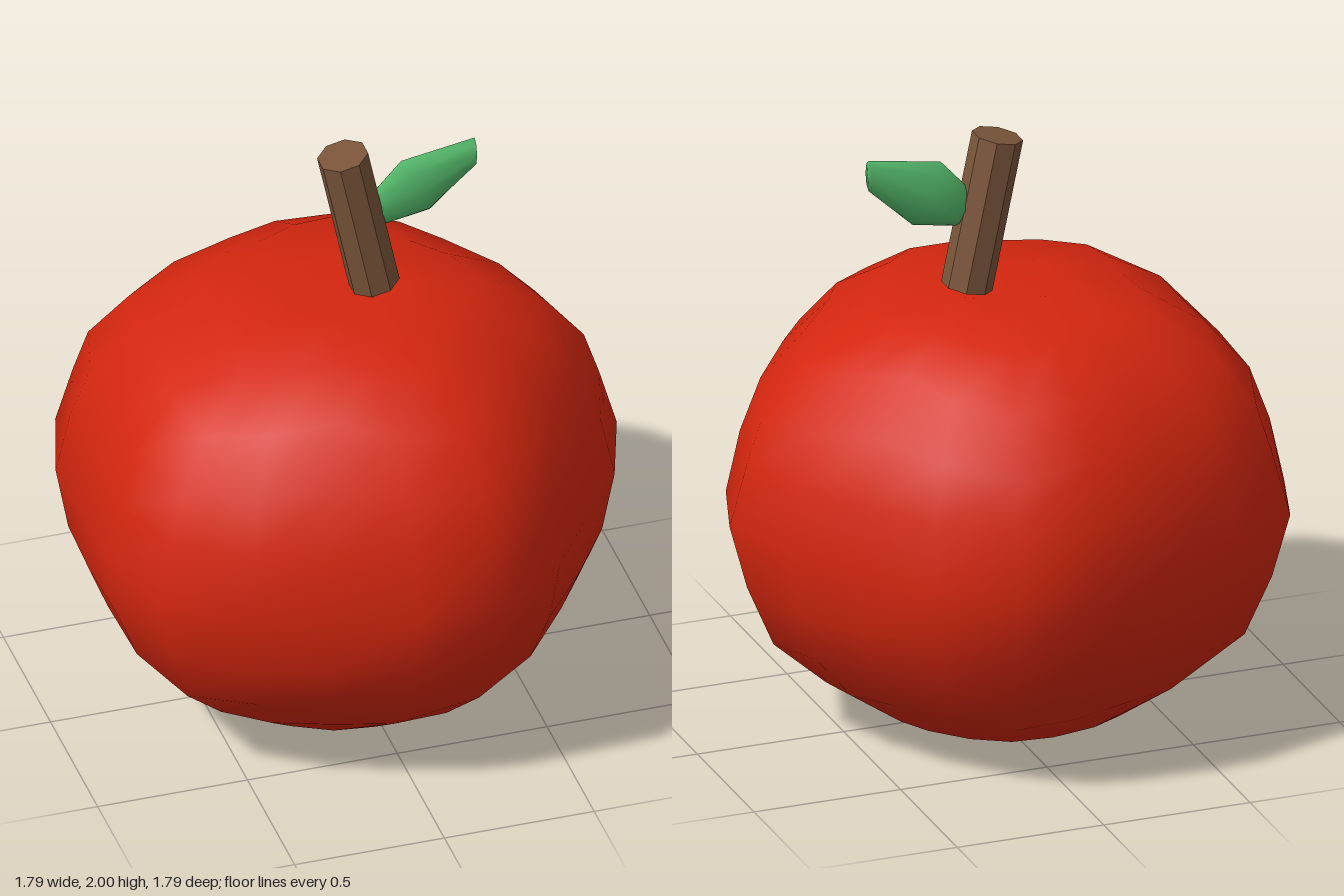
import * as THREE from 'three';

const red = new THREE.MeshStandardMaterial({ name: 'apple red', color: 0xd4260f });
const brown = new THREE.MeshStandardMaterial({ name: 'stem brown', color: 0x7a553a });
const green = new THREE.MeshStandardMaterial({ name: 'leaf green', color: 0x52b568 });

// Smooth skin over closed rings of equal length, closed by a point at each end.
function loft(start, rings, end) {
  const n = rings[0].length;
  const points = [start, ...rings.flat(), end];
  const last = points.length - 1;
  const at = (i, j) => 1 + i * n + (j % n);
  const index = [];
  for (let j = 0; j < n; j++) {
    index.push(0, at(0, j + 1), at(0, j));
    for (let i = 0; i < rings.length - 1; i++) {
      const a = at(i, j), b = at(i, j + 1), c = at(i + 1, j + 1), d = at(i + 1, j);
      index.push(a, b, c, a, c, d);
    }
    index.push(at(rings.length - 1, j), at(rings.length - 1, j + 1), last);
  }
  const geometry = new THREE.BufferGeometry().setFromPoints(points);
  geometry.setIndex(index);
  geometry.computeVertexNormals();
  return geometry;
}

// Five-lobed fruit: [radius, height] on the lobes and in the hollows between them.
function fruitGeometry() {
  const lobe = [[0.19, 0.02], [0.41, 0.055], [0.61, 0.18], [0.79, 0.34], [0.88, 0.55], [0.94, 0.77],
    [0.88, 0.98], [0.83, 1.13], [0.70, 1.29], [0.48, 1.43], [0.22, 1.47]];
  const hollow = [[0.21, 0.02], [0.45, 0.08], [0.65, 0.24], [0.76, 0.41], [0.82, 0.56], [0.84, 0.77],
    [0.81, 0.98], [0.73, 1.19], [0.58, 1.35], [0.39, 1.45], [0.15, 1.47]];
  const sides = 20;
  const rings = lobe.map(([r1, y1], i) => {
    const [r2, y2] = hollow[i];
    return Array.from({ length: sides }, (_, j) => {
      const angle = (j / sides) * Math.PI * 2;
      const t = 0.5 - 0.5 * Math.cos(5 * angle);
      const r = THREE.MathUtils.lerp(r1, r2, t);
      return new THREE.Vector3(r * Math.cos(angle), THREE.MathUtils.lerp(y1, y2, t), -r * Math.sin(angle));
    });
  });
  return loft(new THREE.Vector3(0, 0, 0), rings, new THREE.Vector3(0, 1.44, 0));
}

// Leaf sections: top x, top y, bottom x, bottom y, half thickness.
function leafGeometry() {
  const sections = [
    [0.075, 1.82, 0.12, 1.695, 0.035],
    [0.17, 1.925, 0.265, 1.72, 0.055],
    [0.415, 1.965, 0.415, 1.86, 0.028],
  ];
  const sides = 8;
  const rings = sections.map(([tx, ty, bx, by, thick]) =>
    Array.from({ length: sides }, (_, j) => {
      const angle = (j / sides) * Math.PI * 2;
      const t = 0.5 - 0.5 * Math.cos(angle);
      return new THREE.Vector3(
        THREE.MathUtils.lerp(tx, bx, t), THREE.MathUtils.lerp(ty, by, t), thick * Math.sin(angle));
    }));
  return loft(new THREE.Vector3(0.09, 1.755, 0), rings, new THREE.Vector3(0.415, 1.912, 0));
}

export function createModel() {
  const group = new THREE.Group();
  group.name = 'apple';

  const fruit = new THREE.Mesh(fruitGeometry(), red);
  fruit.name = 'fruit';
  fruit.position.x = -0.05;

  // Eight-sided faceted stem, leaning to one side
  const stemGeometry = new THREE.CylinderGeometry(0.083, 0.083, 0.516, 8).rotateY(Math.PI / 8).toNonIndexed();
  stemGeometry.computeVertexNormals();
  const stem = new THREE.Mesh(stemGeometry, brown);
  stem.name = 'stem';
  stem.position.set(0.0275, 1.7325, 0);
  stem.rotation.z = 0.205;

  const leaf = new THREE.Mesh(leafGeometry(), green);
  leaf.name = 'leaf';

  group.add(fruit, stem, leaf);
  return group;
}
